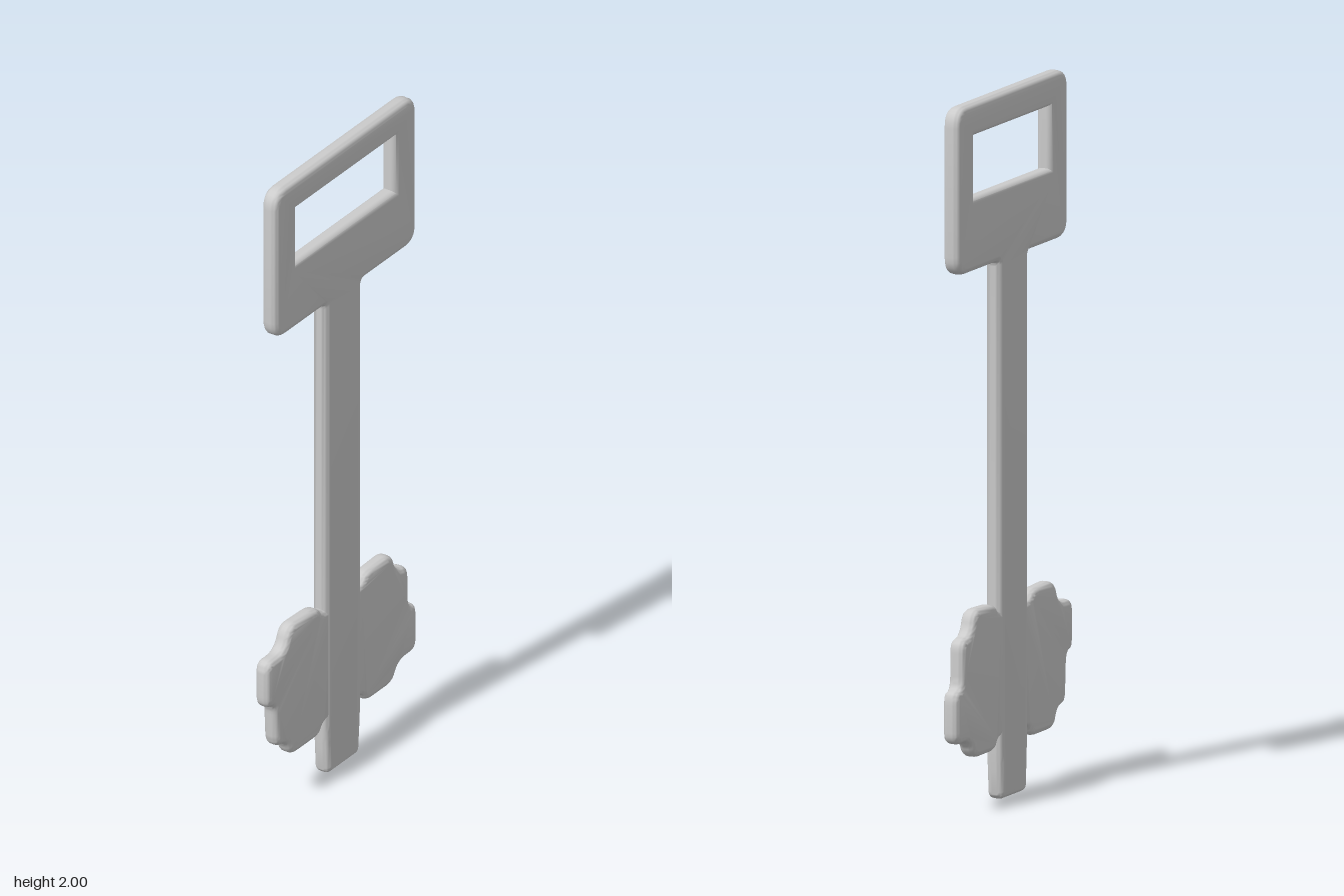
import * as THREE from 'three';
import { toCreasedNormals } from 'three/addons/utils/BufferGeometryUtils.js';

const BEVEL = 0.018;
const material = new THREE.MeshStandardMaterial({ color: 0xcccccc });

// Closed outline through [z, y, radius?] corners, each one softened
function roundedOutline(corners, radius) {
  const points = corners.map(([z, y]) => new THREE.Vector2(z, y));
  const n = points.length;
  const shape = new THREE.Shape();
  points.forEach((p, i) => {
    const toward = (q) => {
      const length = p.distanceTo(q);
      const trim = Math.min(corners[i][2] ?? radius, length * 0.48);
      return p.clone().lerp(q, trim / length);
    };
    const a = toward(points[(i + n - 1) % n]);
    const b = toward(points[(i + 1) % n]);
    if (i === 0) shape.moveTo(a.x, a.y);
    else shape.lineTo(a.x, a.y);
    shape.quadraticCurveTo(p.x, p.y, b.x, b.y);
  });
  shape.closePath();
  return shape;
}

// Flat plate with rounded rims, lying in the z-y plane and centred on x = 0
function plate(name, shape, thickness) {
  const depth = thickness - 2 * BEVEL;
  const geometry = new THREE.ExtrudeGeometry(shape, {
    depth,
    bevelEnabled: true,
    bevelSize: BEVEL,
    bevelThickness: BEVEL,
    bevelOffset: -BEVEL,
    bevelSegments: 5,
    curveSegments: 6,
  });
  geometry.translate(0, 0, -depth / 2);
  geometry.rotateY(-Math.PI / 2);
  const mesh = new THREE.Mesh(toCreasedNormals(geometry, 0.7), material);
  mesh.name = name;
  return mesh;
}

export function createModel() {
  const key = new THREE.Group();
  key.name = 'key';

  // Handle and shaft share one outline
  const body = roundedOutline([
    [-0.08, 0, 0.02], [0.075, 0, 0.02], [0.083, 0.14], [0.083, 1.525, 0.015],
    [0.325, 1.525], [0.325, 2], [-0.35, 2], [-0.35, 1.525],
    [-0.09, 1.525, 0.015], [-0.09, 0.14],
  ], 0.055);

  // Rectangular window in the handle
  const inset = 0.004;
  const [z0, z1, y0, y1] = [-0.25 + inset, 0.224 - inset, 1.728 + inset, 1.912 - inset];
  const handleWindow = new THREE.Path();
  handleWindow.moveTo(z0, y0);
  handleWindow.lineTo(z0, y1);
  handleWindow.lineTo(z1, y1);
  handleWindow.lineTo(z1, y0);
  handleWindow.closePath();
  body.holes.push(handleWindow);
  key.add(plate('handleAndShaft', body, 0.05));

  // Stepped bits on both sides of the shaft
  const frontBit = [
    [0.04, 0.535], [0.095, 0.535], [0.115, 0.56], [0.25, 0.565], [0.275, 0.495],
    [0.359, 0.495], [0.359, 0.35], [0.323, 0.347], [0.316, 0.205], [0.266, 0.2],
    [0.247, 0.145], [0.108, 0.145], [0.09, 0.18], [0.04, 0.18],
  ];
  const rearBit = [
    [-0.04, 0.535], [-0.095, 0.535], [-0.112, 0.56], [-0.24, 0.565], [-0.26, 0.498],
    [-0.316, 0.49], [-0.318, 0.355], [-0.355, 0.348], [-0.355, 0.2], [-0.268, 0.2],
    [-0.242, 0.145], [-0.113, 0.145], [-0.095, 0.18], [-0.04, 0.18],
  ];
  key.add(plate('frontBit', roundedOutline(frontBit, 0.035), 0.048));
  key.add(plate('rearBit', roundedOutline(rearBit, 0.035), 0.048));

  return key;
}
